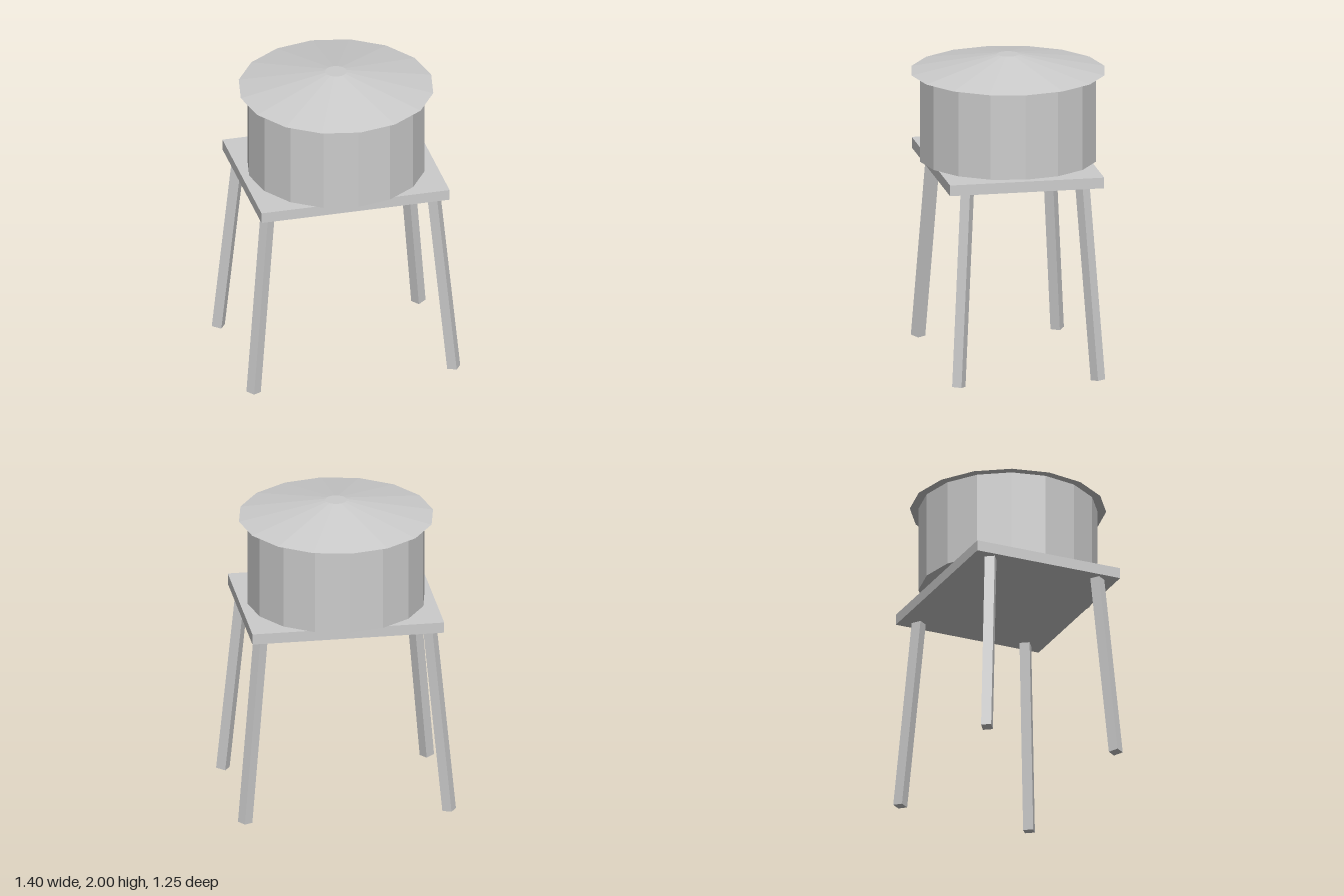
import * as THREE from 'three';

export function createModel() {
  const group = new THREE.Group();
  const grey = new THREE.MeshStandardMaterial({ color: 0xcccccc });
  grey.name = 'light grey';

  const add = (name, geometry, y = 0) => {
    // Separate corners give every facet its own flat normal
    const flat = geometry.toNonIndexed();
    flat.computeVertexNormals();
    const mesh = new THREE.Mesh(flat, grey);
    mesh.name = name;
    mesh.position.y = y;
    group.add(mesh);
    return mesh;
  };

  // Sixteen-sided tank under a wide, shallow roof with a small flat top
  add('tank', new THREE.CylinderGeometry(0.57, 0.57, 0.57, 16), 1.605);
  add('roof', new THREE.CylinderGeometry(0.07, 0.625, 0.11, 16), 1.945);

  // Rectangular deck, which the tank slightly overhangs at front and back
  add('platform', new THREE.BoxGeometry(1.235, 0.07, 1.0), 1.285);

  // Square legs splayed outward along lines through the centre
  const legAngle = 0.602, width = 0.065;
  const up = new THREE.Vector3(0, 1, 0);
  const point = (angle, r, y) => new THREE.Vector3(r * Math.cos(angle), y, r * Math.sin(angle));
  for (const [name, angle] of [
    ['frontLeftLeg', legAngle],
    ['frontRightLeg', Math.PI - legAngle],
    ['backRightLeg', Math.PI + legAngle],
    ['backLeftLeg', -legAngle],
  ]) {
    const foot = point(angle, 0.797, 0.0035);
    const top = point(angle, 0.658, 1.27);
    const axis = top.clone().sub(foot);
    const leg = add(name, new THREE.BoxGeometry(width, axis.length(), width));
    leg.position.copy(foot).add(top).multiplyScalar(0.5);
    // Turn the leg to face outward, then lean it inward
    leg.quaternion.setFromUnitVectors(up, axis.normalize());
    leg.quaternion.multiply(new THREE.Quaternion().setFromAxisAngle(up, -angle));
  }

  return group;
}
